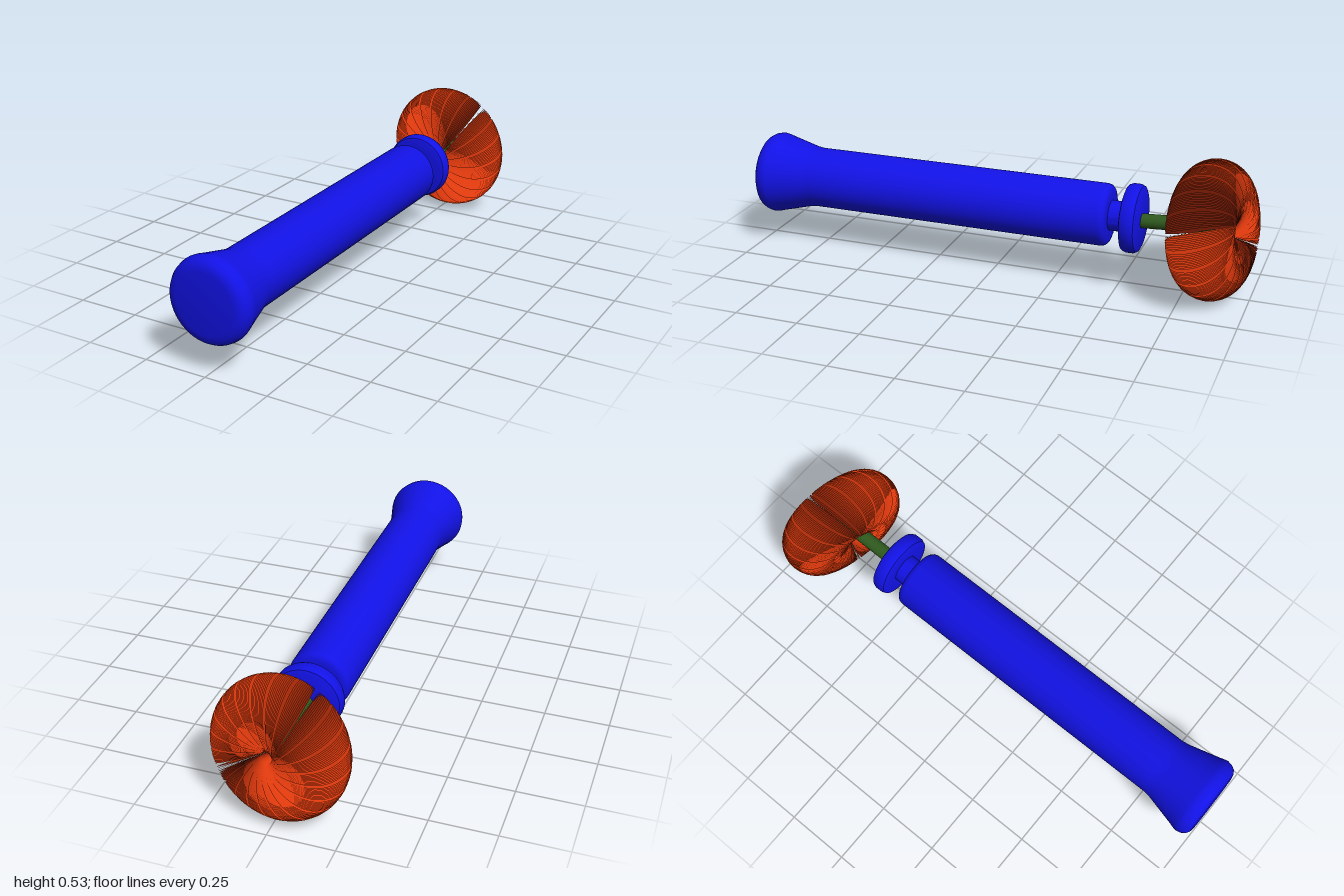
import * as THREE from 'three';
import { mergeGeometries, toCreasedNormals } from 'three/addons/utils/BufferGeometryUtils.js';

const vec2 = (list) => list.map(([x, y]) => new THREE.Vector2(x, y));

// A stack of thin flat flaps, slanted across the wheel and fanned about its axis (z)
function flapStack(outline, sheets, fan, slant) {
  const parts = [];
  for (let i = 0; i < sheets; i++) {
    const g = new THREE.ShapeGeometry(outline);
    const p = g.attributes.position;
    for (let k = 0; k < p.count; k++) {
      const r = p.getX(k), a = p.getY(k);
      p.setXYZ(k, r, -slant * a, a);
    }
    g.rotateZ((i / (sheets - 1) - 0.5) * fan);
    g.computeVertexNormals();
    parts.push(g);
  }
  return mergeGeometries(parts);
}

export function createModel() {
  const model = new THREE.Group();
  const blue = new THREE.MeshStandardMaterial({ color: 0x1212e6 });
  const green = new THREE.MeshStandardMaterial({ color: 0x2f5a1e });
  const orange = new THREE.MeshStandardMaterial({ color: 0xdc380c, side: THREE.DoubleSide });

  // Turned handle: collar, neck, grip and flared end, as [radius, z]
  const profile = vec2([
    [0, -0.58], [0.115, -0.58], [0.126, -0.575], [0.132, -0.562], [0.132, -0.535],
    [0.126, -0.521], [0.115, -0.517], [0.058, -0.517], [0.058, -0.46],
    [0.095, -0.46], [0.109, -0.456], [0.117, -0.447], [0.12, -0.433],
    [0.12, 0.77], [0.124, 0.8], [0.155, 0.92], [0.161, 0.94], [0.163, 0.952],
    [0.159, 0.972], [0.15, 0.987], [0.135, 0.997], [0.115, 1], [0, 1],
  ]);
  const handleGeometry = new THREE.LatheGeometry(profile, 48);
  handleGeometry.rotateX(Math.PI / 2);
  const handle = new THREE.Mesh(toCreasedNormals(handleGeometry, 0.7), blue);
  handle.name = 'handle';
  handle.position.set(0.01, 0.275, 0);
  model.add(handle);

  // Spindle from the collar into the wheel
  const path = new THREE.LineCurve3(
    new THREE.Vector3(0.01, 0.268, -0.56), new THREE.Vector3(0.008, 0.284, -0.86));
  const spindle = new THREE.Mesh(new THREE.TubeGeometry(path, 1, 0.028, 20), green);
  spindle.name = 'spindle';
  model.add(spindle);

  // Flap outline: half section of the wheel, as [radius, distance along the axis]
  const half = [[0.012, 0.085], [0.05, 0.108], [0.1, 0.12], [0.16, 0.117],
    [0.215, 0.096], [0.252, 0.055], [0.266, 0]];
  const mirrored = half.slice(0, -1).reverse().map(([r, a]) => [r, -a]);
  const curve = new THREE.SplineCurve(vec2([...half, ...mirrored]));
  const outline = new THREE.Shape(curve.getPoints(28));

  // Tilted wheel made of flap stacks
  const wheel = new THREE.Group();
  wheel.name = 'flapWheel';
  wheel.position.set(0, 0.266, -0.85);
  wheel.quaternion.setFromUnitVectors(
    new THREE.Vector3(0, 0, 1), new THREE.Vector3(-0.21, -0.115, 1).normalize());
  const stacks = 22;
  const step = (Math.PI * 2) / stacks;
  const stackGeometry = flapStack(outline, 10, step * 0.8, 0.23);
  for (let i = 0; i < stacks; i++) {
    const stack = new THREE.Mesh(stackGeometry, orange);
    stack.name = 'flapStack';
    stack.rotation.z = THREE.MathUtils.degToRad(92) + i * step;
    wheel.add(stack);
  }
  model.add(wheel);
  return model;
}
